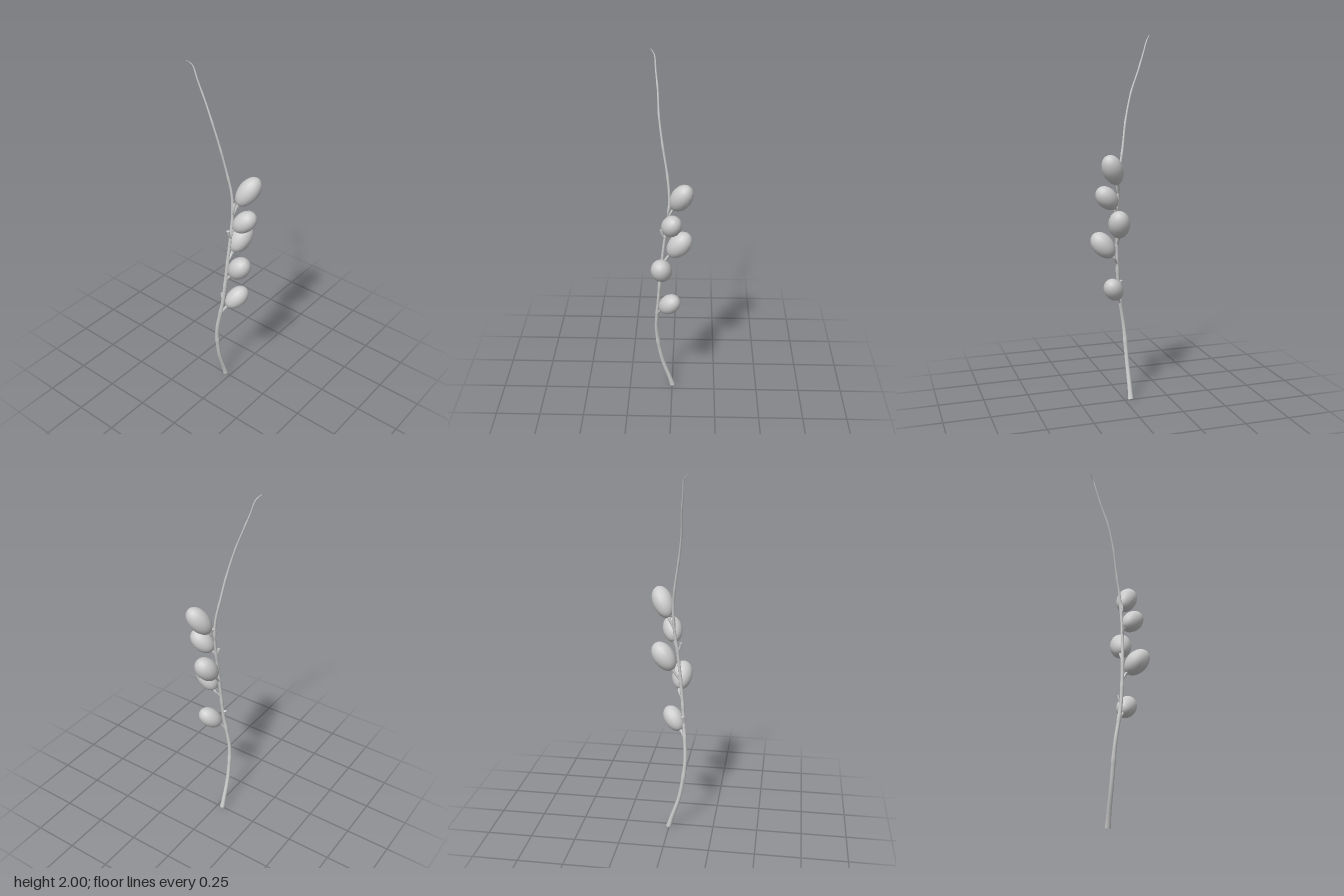
import * as THREE from 'three';

const mat = new THREE.MeshStandardMaterial({ color: 0xcccccc });
const V = (a) => new THREE.Vector3(...a);

// Tapered, closed tube; radiusAt(t) gives the radius along the path
function twig(name, points, radiusAt, segments, sides) {
  const curve = new THREE.CatmullRomCurve3(points.map(V), false, 'centripetal');
  const geo = new THREE.TubeGeometry(curve, segments, 1, sides, false);
  const pos = geo.attributes.position;
  const v = new THREE.Vector3();
  const ring = sides + 1;
  for (let i = 0; i <= segments; i++) {
    const c = curve.getPointAt(i / segments);
    const r = radiusAt(i / segments);
    for (let j = 0; j < ring; j++) {
      const k = i * ring + j;
      v.fromBufferAttribute(pos, k).sub(c).multiplyScalar(r).add(c);
      pos.setXYZ(k, v.x, v.y, v.z);
    }
  }
  geo.computeVertexNormals();
  const group = new THREE.Group();
  group.name = name;
  group.add(new THREE.Mesh(geo, mat));
  // end discs
  for (const t of [0, 1]) {
    const cap = new THREE.Mesh(new THREE.CircleGeometry(radiusAt(t), sides), mat);
    cap.position.copy(curve.getPointAt(t));
    const dir = curve.getTangentAt(t).multiplyScalar(t ? 1 : -1);
    cap.quaternion.setFromUnitVectors(new THREE.Vector3(0, 0, 1), dir);
    group.add(cap);
  }
  return group;
}

// Slightly egg-shaped fruit, lying along its axis
function fruitBody(center, axis, radius, half) {
  const profile = [];
  for (let i = 0; i <= 12; i++) {
    const a = (i / 12) * Math.PI;
    const y = -Math.cos(a);
    profile.push(new THREE.Vector2(i % 12 ? Math.sin(a) * radius * (1 + 0.05 * y) : 0, y * half));
  }
  const mesh = new THREE.Mesh(new THREE.LatheGeometry(profile, 16), mat);
  mesh.position.copy(center);
  mesh.quaternion.setFromUnitVectors(new THREE.Vector3(0, 1, 0), axis);
  mesh.name = 'fruit';
  return mesh;
}

export function createModel() {
  const model = new THREE.Group();
  model.name = 'fruitingBranch';

  // Main stem, thinning upward, with faint knots
  const stem = [
    [-0.034, 0, -0.002], [-0.034, 0.05, 0.013], [-0.032, 0.2, 0.06], [-0.022, 0.4, 0.088],
    [-0.003, 0.52, 0.084], [0.012, 0.62, 0.076], [0.022, 0.75, 0.066], [0.028, 0.88, 0.054],
    [0.033, 1.02, 0.038], [0.032, 1.18, 0.016], [0.024, 1.29, 0.014], [0.005, 1.4, 0.025],
    [-0.02, 1.55, 0.049], [-0.058, 1.7, 0.068], [-0.095, 1.8, 0.073], [-0.13, 1.9, 0.084],
    [-0.155, 1.975, 0.092], [-0.175, 1.998, 0.112],
  ];
  const knots = [0.16, 0.27, 0.36, 0.43, 0.52, 0.59, 0.68, 0.76, 0.84, 0.91];
  const stemRadius = (t) => {
    let bump = 1;
    for (const k of knots) bump += 0.22 * Math.exp(-(((t - k) / 0.008) ** 2));
    const flare = 0.003 * Math.exp(-t * 50);
    return (0.0125 - 0.0085 * t + flare) * bump * (t > 0.97 ? 1 - (t - 0.97) * 22 : 1);
  };
  model.add(twig('stem', stem, stemRadius, 120, 8));

  // Fruits: centre, axis, radius, half length, stalk root on the stem
  const fruits = [
    [[0.083, 1.295, -0.05], [0.41, 0.82, -0.41], 0.056, 0.092, [0.032, 1.16, 0.018]],
    [[0.1, 1.14, 0], [0.64, 0.7, -0.25], 0.054, 0.077, [0.033, 1.04, 0.035]],
    [[0.045, 1.0, -0.04], [0.17, 0.79, -0.58], 0.059, 0.088, [0.027, 0.87, 0.055]],
    [[0.107, 0.875, 0.053], [0.63, 0.77, 0.1], 0.0575, 0.0835, [0.022, 0.76, 0.066]],
    [[0.06, 0.632, 0.013], [0.45, 0.7, -0.55], 0.053, 0.078, [-0.001, 0.53, 0.083]],
  ];
  for (const [c, a, radius, half, root] of fruits) {
    const center = V(c);
    const axis = V(a).normalize();
    const end = center.clone().addScaledVector(axis, -half * 0.92);
    const neck = end.clone().addScaledVector(axis, -0.018);
    const mid = V(root).lerp(neck, 0.55);
    const group = new THREE.Group();
    group.name = 'fruitWithStalk';
    group.add(fruitBody(center, axis, radius, half));
    group.add(twig('stalk', [root, mid.toArray(), neck.toArray(), end.toArray()],
      (t) => 0.0065 + 0.004 * t ** 4, 10, 7));
    model.add(group);
  }

  // Short bare spurs
  const spurs = [
    [[0.034, 1.03, 0.036], [0.035, 1.06, 0.05], [0.033, 1.085, 0.056]],
    [[0.012, 0.62, 0.076], [0.004, 0.645, 0.074], [0.0, 0.668, 0.07]],
    [[0.032, 1.16, 0.018], [0.039, 1.2, 0.018], [0.037, 1.235, 0.008]],
  ];
  for (const s of spurs) model.add(twig('spur', s, (t) => 0.006 + 0.003 * t * t, 6, 6));

  return model;
}
